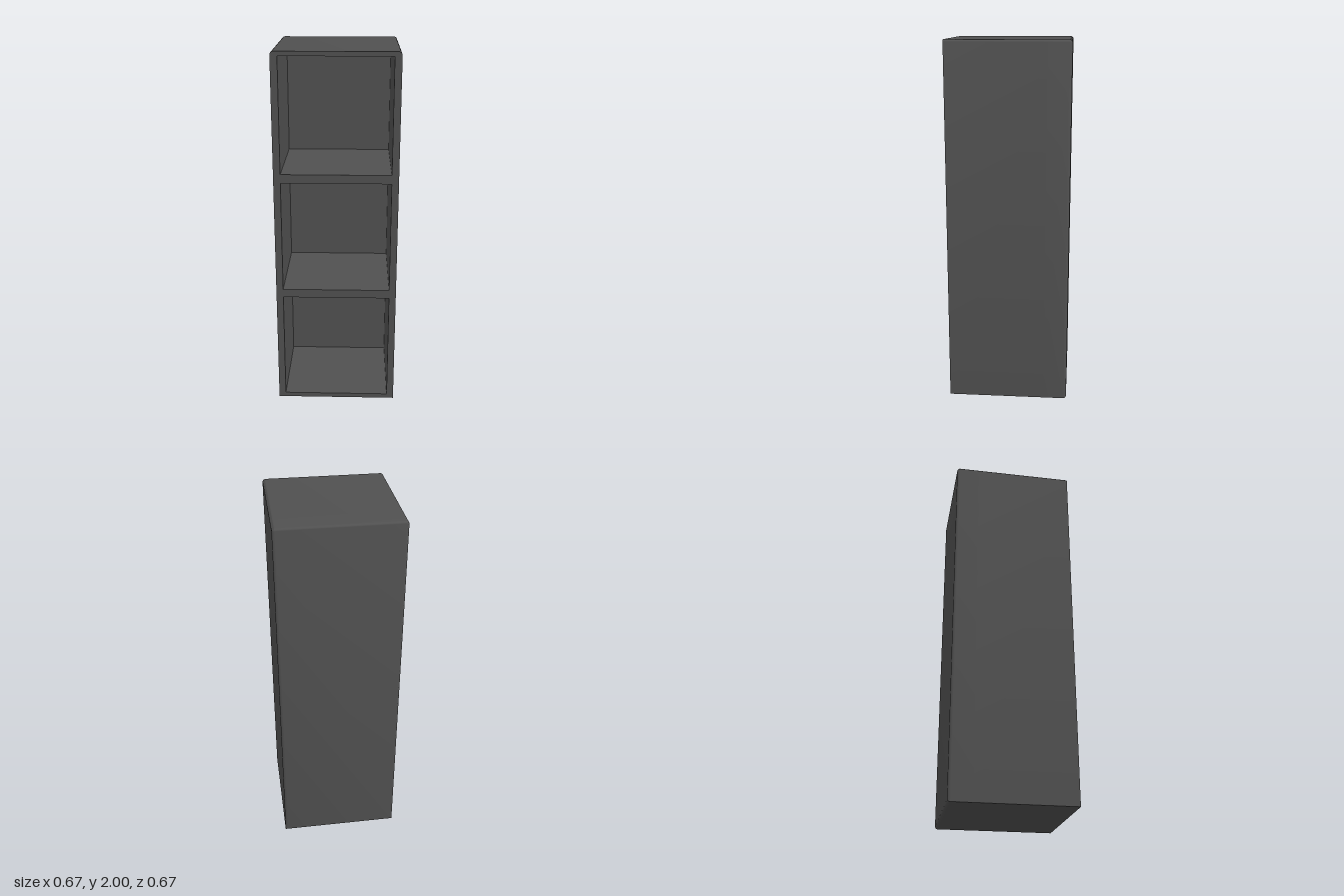
import * as THREE from 'three';
import { toCreasedNormals } from 'three/addons/utils/BufferGeometryUtils.js';

const HALF = 0.333;      // half width and half depth
const HEIGHT = 2;
const CORNER = 0.018;    // rounding of the top corners
const BEVEL = 0.015;     // rounding of the back edges
const BACK = -0.205;     // inner face of the back panel

// Front outline: square at the foot, rounded at the top
function outline() {
  const s = new THREE.Shape();
  s.moveTo(-HALF, 0);
  s.lineTo(HALF, 0);
  s.lineTo(HALF, HEIGHT - CORNER);
  s.absarc(HALF - CORNER, HEIGHT - CORNER, CORNER, 0, Math.PI / 2, false);
  s.lineTo(-HALF + CORNER, HEIGHT);
  s.absarc(-HALF + CORNER, HEIGHT - CORNER, CORNER, Math.PI / 2, Math.PI, false);
  s.closePath();
  return s;
}

function bay(bottom, top, half) {
  const p = new THREE.Path();
  p.moveTo(-half, bottom);
  p.lineTo(-half, top);
  p.lineTo(half, top);
  p.lineTo(half, bottom);
  p.closePath();
  return p;
}

export function createModel() {
  const group = new THREE.Group();
  group.name = 'shelfUnit';
  const charcoal = new THREE.MeshStandardMaterial({ color: 0x505050 });
  charcoal.name = 'charcoal';

  // Frame with three open bays
  const face = outline();
  for (let i = 0; i < 3; i++) {
    const bottom = 0.026 + i * 0.666;
    face.holes.push(bay(bottom, bottom + 0.618, 0.295));
  }
  const frameGeo = new THREE.ExtrudeGeometry(face, {
    depth: HALF - BACK, bevelEnabled: false, curveSegments: 6,
  });
  frameGeo.translate(0, 0, BACK);
  const frame = new THREE.Mesh(toCreasedNormals(frameGeo, 0.6), charcoal);
  frame.name = 'frameWithShelves';
  group.add(frame);

  // Thick back panel, rounded at the rear and flattened against the frame
  const depth = HALF + BACK - BEVEL;
  const backGeo = new THREE.ExtrudeGeometry(outline(), {
    depth, curveSegments: 6, bevelEnabled: true, bevelSegments: 5,
    bevelSize: BEVEL, bevelThickness: BEVEL, bevelOffset: -BEVEL,
  });
  const pos = backGeo.attributes.position;
  for (let i = 0; i < pos.count; i++) pos.setZ(i, Math.min(pos.getZ(i), depth));
  backGeo.translate(0, 0, BACK - depth);
  const back = new THREE.Mesh(toCreasedNormals(backGeo, 0.6), charcoal);
  back.name = 'backPanel';
  group.add(back);

  return group;
}
